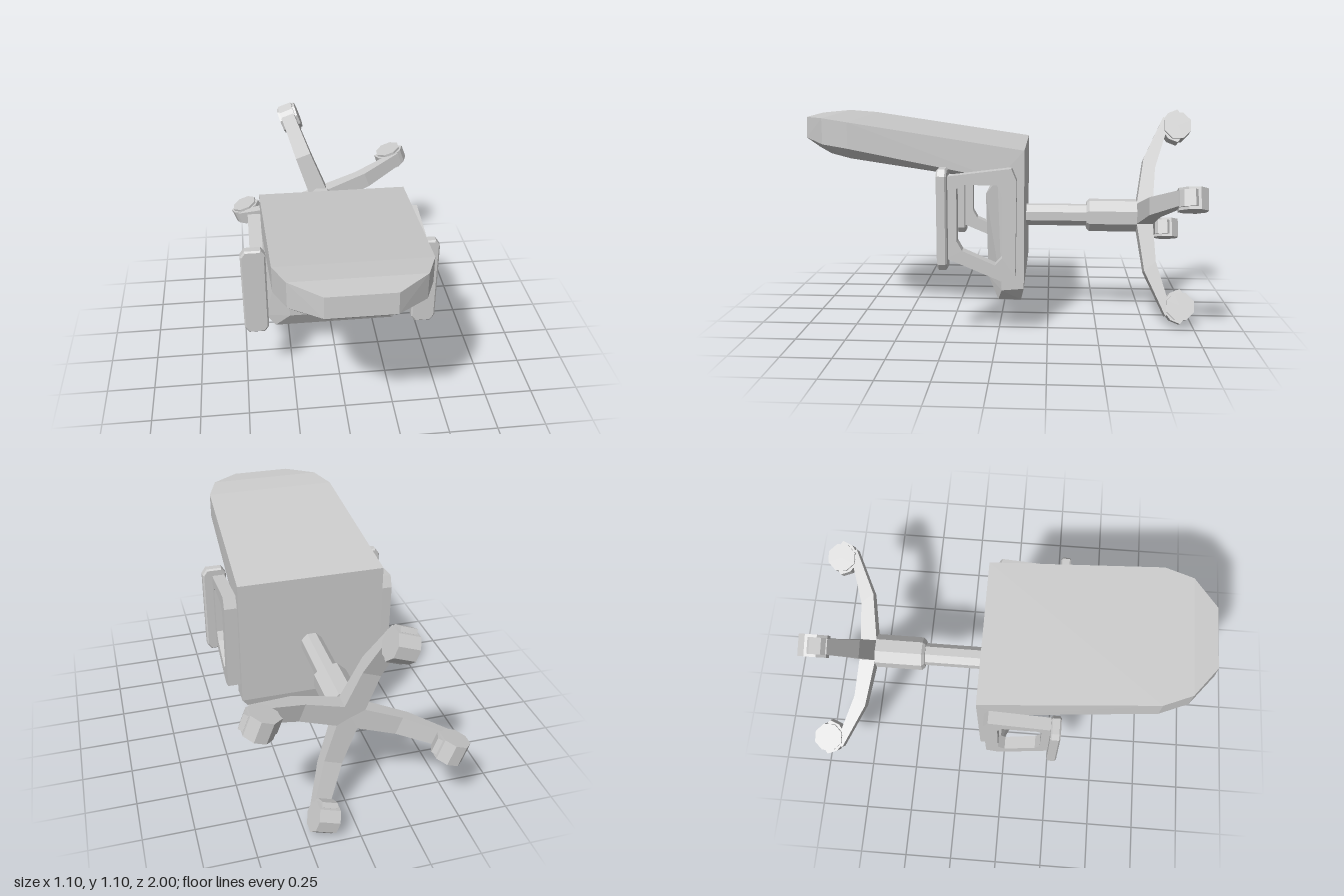
import * as THREE from 'three';
import { ConvexGeometry } from 'three/addons/geometries/ConvexGeometry.js';

const grey = new THREE.MeshStandardMaterial({ color: 0xcccccc, flatShading: true });

function mesh(name, geometry, parent) {
  const m = new THREE.Mesh(geometry, grey);
  m.name = name;
  parent.add(m);
  return m;
}

// Faceted solid from one half's corners, mirrored across x = 0
function mirroredHull(corners) {
  const points = [];
  for (const [x, y, z] of corners) {
    points.push(new THREE.Vector3(x, y, z), new THREE.Vector3(-x, y, z));
  }
  return new ConvexGeometry(points);
}

function polygon(points) {
  return new THREE.Shape(points.map(([x, y]) => new THREE.Vector2(x, y)));
}

// Extrusion centred on its depth
function slab(shape, depth, bevel = 0) {
  const g = new THREE.ExtrudeGeometry(shape, {
    depth: depth - 2 * bevel, bevelEnabled: bevel > 0, bevelSize: bevel,
    bevelThickness: bevel, bevelOffset: -bevel, bevelSegments: 1,
  });
  return g.translate(0, 0, -depth / 2 + bevel);
}

// Octagonal post along z
function post(radius, zFront, zRear, frontRadius = radius) {
  return new THREE.CylinderGeometry(frontRadius, radius, zFront - zRear, 8)
    .rotateY(Math.PI / 8).rotateX(Math.PI / 2).translate(0, 0, (zFront + zRear) / 2);
}

export function createModel() {
  const chair = new THREE.Group();
  chair.name = 'officeChair';

  // Seat cushion, facing +z
  mesh('seat', mirroredHull([
    [0.38, 0.94, -0.13], [0.38, 0.25, -0.13], [0.33, 0.18, -0.115],
    [0.33, 0.18, 0], [0.38, 0.24, -0.02], [0.25, 0.28, 0.055],
    [0.28, 0.71, 0.065], [0.31, 0.78, 0.01], [0.38, 0.8, 0],
  ]), chair);

  // Backrest: upper rim, lower rim and inset cushion face
  mesh('backrest', mirroredHull([
    [0.38, 0.94, -0.13], [0.355, 1.07, 0.74], [0.3, 1.085, 0.88], [0.155, 1.08, 0.995],
    [0.38, 0.8, 0], [0.355, 0.94, 0.74], [0.3, 0.955, 0.88], [0.155, 0.975, 1],
    [0.31, 0.78, 0.01], [0.29, 0.885, 0.74], [0.245, 0.905, 0.85], [0.13, 0.925, 0.94],
    [0.38, 0.8, -0.13],
  ]), chair);

  // Arm loops and pads
  const loop = polygon([
    [0.245, 0.82], [-0.07, 0.86], [-0.095, 0.8], [-0.09, 0.33], [-0.02, 0.305], [0.245, 0.415],
  ]);
  loop.holes.push(polygon([
    [0.195, 0.76], [0.17, 0.78], [0, 0.78], [-0.025, 0.74],
    [-0.025, 0.42], [0.01, 0.385], [0.17, 0.455], [0.195, 0.5],
  ]));
  const pad = polygon([
    [-0.0625, -0.215], [-0.04, -0.247], [0.04, -0.247], [0.0625, -0.215],
    [0.0625, 0.215], [0.04, 0.247], [-0.04, 0.247], [-0.0625, 0.215],
  ]);
  for (const side of [1, -1]) {
    const arm = new THREE.Group();
    arm.name = side > 0 ? 'leftArm' : 'rightArm';
    mesh('armLoop', slab(loop, 0.065).rotateY(-Math.PI / 2), arm).position.x = side * 0.4125;
    mesh('armPad', slab(pad, 0.05, 0.008), arm).position.set(side * 0.4325, 0.612, 0.263);
    chair.add(arm);
  }

  // Column and four-legged base around the axis y = 0.555
  const base = new THREE.Group();
  base.name = 'base';
  base.position.y = 0.555;
  chair.add(base);
  mesh('innerColumn', post(0.059, -0.12, -0.46), base);
  mesh('columnCollar', post(0.088, -0.447, -0.463, 0.072), base);
  mesh('outerColumn', post(0.088, -0.463, -0.71), base);
  mesh('hub', post(0.07, -0.71, -0.787), base);

  const legProfile = polygon([
    [0, -0.71], [0.05, -0.71], [0.3, -0.748], [0.53, -0.855],
    [0.52, -0.87], [0.45, -0.87], [0.25, -0.808], [0, -0.79],
  ]);
  const hood = polygon([
    [-0.09, -0.005], [-0.07, 0.045], [-0.04, 0.066], [0.04, 0.066],
    [0.07, 0.045], [0.09, -0.005], [0.07, -0.02], [-0.07, -0.02],
  ]);
  for (let i = 0; i < 4; i++) {
    const leg = new THREE.Group();
    leg.name = 'leg' + (i + 1);
    leg.rotation.z = THREE.MathUtils.degToRad(20 + 90 * i);
    base.add(leg);

    // Leg narrows towards its tip
    const g = slab(legProfile, 0.11).rotateX(Math.PI / 2);
    const p = g.attributes.position;
    for (let k = 0; k < p.count; k++) p.setY(k, p.getY(k) * (1 - 0.6 * p.getX(k)));
    mesh('legArm', g, leg);

    // Caster
    mesh('wheelHood', slab(hood, 0.08).rotateX(Math.PI / 2), leg).position.set(0.48, 0, -0.925);
    const wheel = new THREE.CylinderGeometry(0.075, 0.075, 0.107, 8).rotateY(Math.PI / 8);
    mesh('wheel', wheel, leg).position.set(0.48, 0, -0.93);
  }
  return chair;
}
